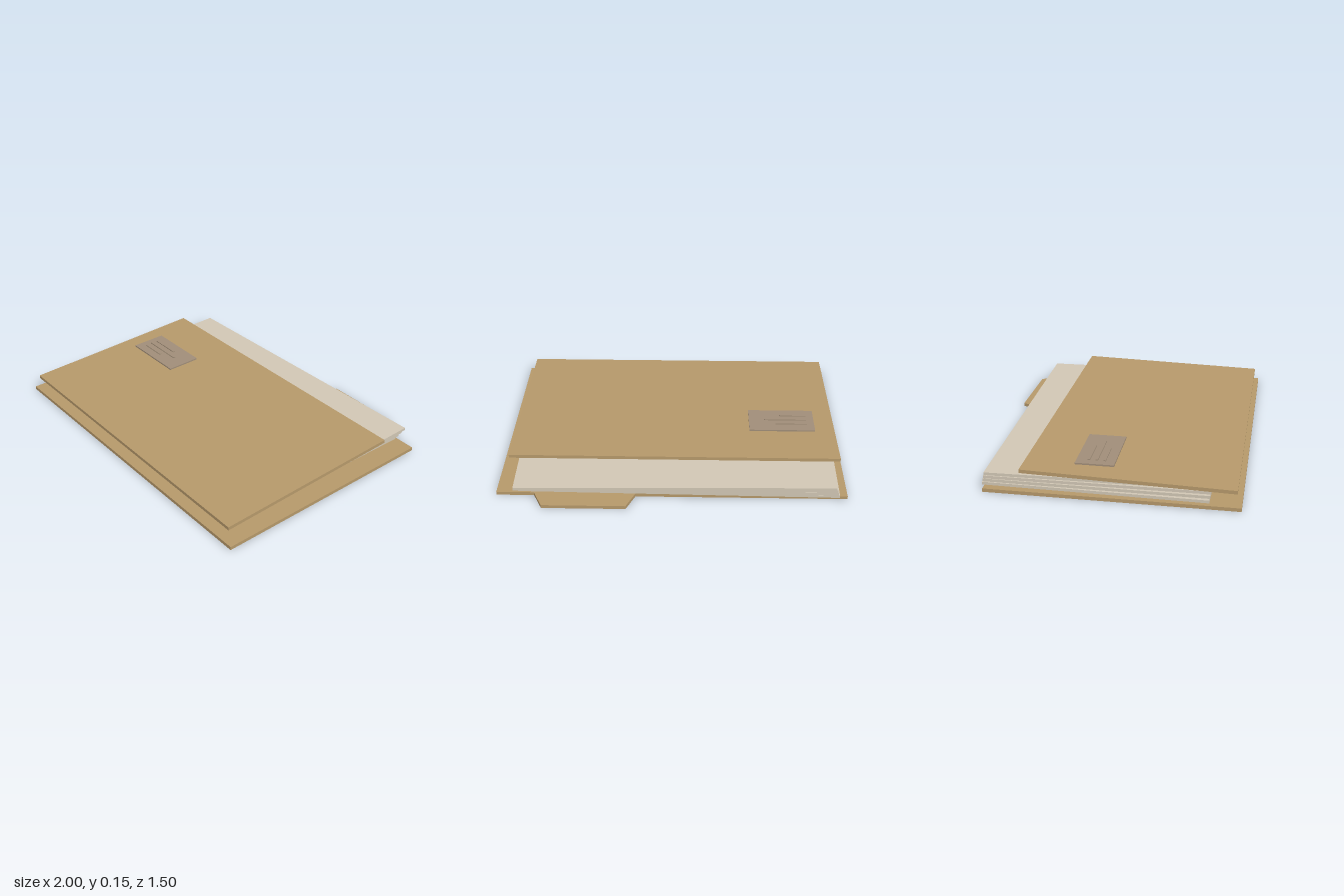
import * as THREE from 'three';

export function createModel() {
  const model = new THREE.Group();
  model.name = 'paperFolder';

  const mat = (name, color) => {
    const m = new THREE.MeshStandardMaterial({ color });
    m.name = name;
    return m;
  };
  const card = mat('manila card', 0xb5986a);
  const paper = mat('paper', 0xd0c6b4);
  const labelGrey = mat('label grey brown', 0xa08d78);

  const box = (name, material, size, pos, parent = model) => {
    const mesh = new THREE.Mesh(new THREE.BoxGeometry(...size), material);
    mesh.name = name;
    mesh.position.set(...pos);
    parent.add(mesh);
    return mesh;
  };

  // Back cover with its index tab, one outline extruded upwards
  const outline = [
    [-1, -0.75], [1, -0.75], [1, 0.64], [0.785, 0.64],
    [0.73, 0.755], [0.255, 0.755], [0.205, 0.64], [-1, 0.64],
  ];
  const shape = new THREE.Shape(outline.map(([x, y]) => new THREE.Vector2(x, y)));
  const coverGeometry = new THREE.ExtrudeGeometry(shape, { depth: 0.02, bevelEnabled: false });
  coverGeometry.rotateX(-Math.PI / 2);
  const backCover = new THREE.Mesh(coverGeometry, card);
  backCover.name = 'backCover';
  model.add(backCover);

  // Loose stack of paper, each bundle turned a little further
  const stack = new THREE.Group();
  stack.name = 'paperStack';
  model.add(stack);
  const bundles = [
    // x, z, turn
    [-0.047, -0.025, -0.014],
    [-0.033, -0.033, -0.003],
    [-0.021, -0.041, 0.009],
    [-0.008, -0.05, 0.02],
  ];
  bundles.forEach(([x, z, turn], i) => {
    const sheet = box(`paperBundle${i + 1}`, paper, [1.83, 0.016, 1.235], [x, 0.028 + i * 0.016, z], stack);
    sheet.rotation.y = turn;
  });

  // Front cover, tilted up towards the back
  const frontCover = box('frontCover', card, [1.926, 0.02, 1.165], [-0.012, 0.111, 0.1425]);
  frontCover.rotation.x = 0.026;

  // Label plate with three raised lines
  const label = new THREE.Group();
  label.name = 'label';
  model.add(label);
  box('labelPlate', labelGrey, [0.395, 0.009, 0.216], [-0.658, 0.1385, -0.053], label);
  [[-0.093, 0.19], [-0.049, 0.255], [-0.005, 0.16]].forEach(([z, width], i) => {
    box(`labelLine${i + 1}`, labelGrey, [width, 0.006, 0.014], [-0.81 + width / 2, 0.146, z], label);
  });

  return model;
}
